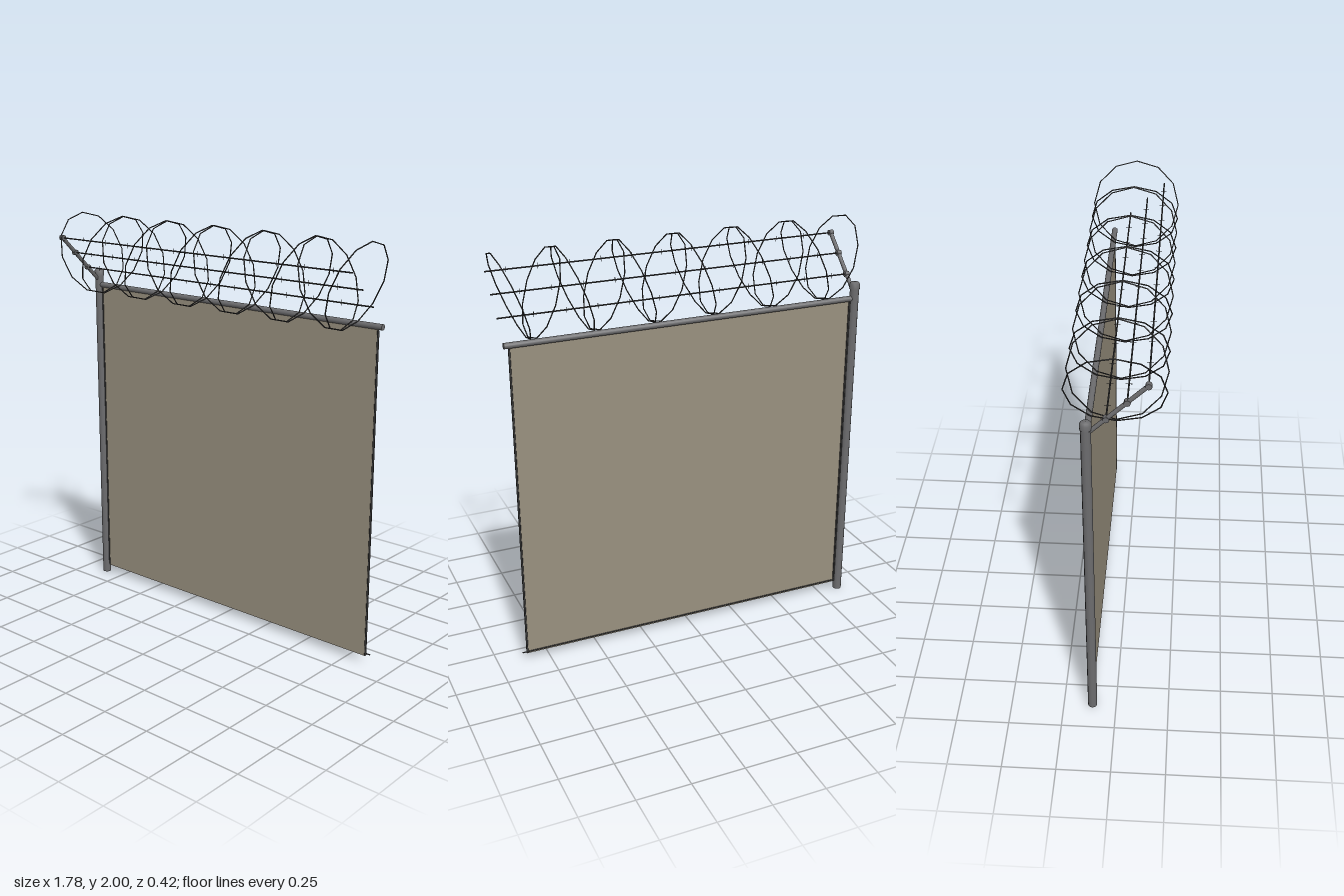
import * as THREE from 'three';

const steel = new THREE.MeshStandardMaterial({ color: 0x6c6c6e });
const darkWire = new THREE.MeshStandardMaterial({ color: 0x3a3a3a });
const meshFill = new THREE.MeshStandardMaterial({ color: 0x99907f, side: THREE.DoubleSide });

const V = (x, y, z) => new THREE.Vector3(x, y, z);
const UP = V(0, 1, 0);

function add(parent, name, geometry, material) {
  const mesh = new THREE.Mesh(geometry, material);
  mesh.name = name;
  parent.add(mesh);
  return mesh;
}

// Round bar between two points
function bar(parent, name, a, b, radius, material, sides = 12) {
  const dir = b.clone().sub(a);
  const mesh = add(parent, name, new THREE.CylinderGeometry(radius, radius, dir.length(), sides), material);
  mesh.position.copy(a).add(b).multiplyScalar(0.5);
  mesh.quaternion.setFromUnitVectors(UP, dir.normalize());
  return mesh;
}

export function createModel() {
  const model = new THREE.Group();
  model.name = 'securityFence';
  const postX = -0.864, z = -0.113, left = -0.84, right = 0.865, end = 0.886;

  // Post with its cap, and the top rail
  bar(model, 'post', V(postX, 0, z), V(postX, 1.67, z), 0.022, steel);
  const cap = [[0.0255, 0], [0.0255, 0.025], [0.018, 0.034], [0, 0.037]].map(p => new THREE.Vector2(...p));
  add(model, 'postCap', new THREE.LatheGeometry(cap, 12), steel).position.set(postX, 1.663, z);
  bar(model, 'topRail', V(postX, 1.616, z), V(end, 1.616, z), 0.014, steel);

  // Mesh infill, tension bars at its sides and tension wire at its foot
  add(model, 'meshPanel', new THREE.PlaneGeometry(right - left, 1.57), meshFill)
    .position.set((left + right) / 2, 0.825, z + 0.002);
  for (const x of [left, right - 0.003]) {
    bar(model, 'tensionBar', V(x, 0.045, z), V(x, 1.6, z), 0.005, darkWire, 6);
  }
  bar(model, 'bottomWire', V(postX, 0.052, z - 0.003), V(end, 0.052, z - 0.003), 0.003, darkWire, 6);

  // Slanted arm carrying the barbed wires
  bar(model, 'slantedArm', V(postX, 1.635, z), V(postX, 1.884, 0.138), 0.01, steel, 8);
  const wires = [[1.716, -0.031], [1.8, 0.053], [1.882, 0.136]];
  wires.forEach(([y, wz], row) => {
    const strand = new THREE.Group();
    strand.name = 'barbedWire';
    model.add(strand);
    bar(strand, 'wireClamp', V(postX - 0.011, y, wz), V(postX + 0.011, y, wz), 0.014, steel, 8);
    bar(strand, 'wire', V(postX, y, wz), V(end, y, wz), 0.0035, darkWire, 6);
    for (let i = 0; i < 11; i++) {
      const x = -0.78 + i * 0.15 + row * 0.035;
      if (x > 0.86) continue;
      bar(strand, 'barb', V(x, y - 0.013, wz), V(x, y + 0.013, wz), 0.0013, darkWire, 4);
      bar(strand, 'barb', V(x + 0.005, y, wz - 0.014), V(x + 0.005, y, wz + 0.014), 0.0013, darkWire, 4);
    }
  });

  // Concertina coil: twelve-sided rings leaning alternately left and right
  const coil = new THREE.Group();
  coil.name = 'concertinaCoil';
  model.add(coil);
  const rings = 12, step = 0.1464, lean = 0.069;
  for (let k = 0; k < rings; k++) {
    const path = new THREE.CurvePath();
    const side = k % 2 ? 1 : -1;
    const corner = i => {
      const a = i * Math.PI / 6;
      return V(-0.791 + k * step + side * lean * Math.cos(a), 1.8 + 0.198 * Math.cos(a), 0.209 * Math.sin(a));
    };
    for (let i = 0; i < 12; i++) path.add(new THREE.LineCurve3(corner(i), corner(i + 1)));
    add(coil, 'coilRing', new THREE.TubeGeometry(path, 12, 0.003, 5, true), darkWire);
  }
  return model;
}
